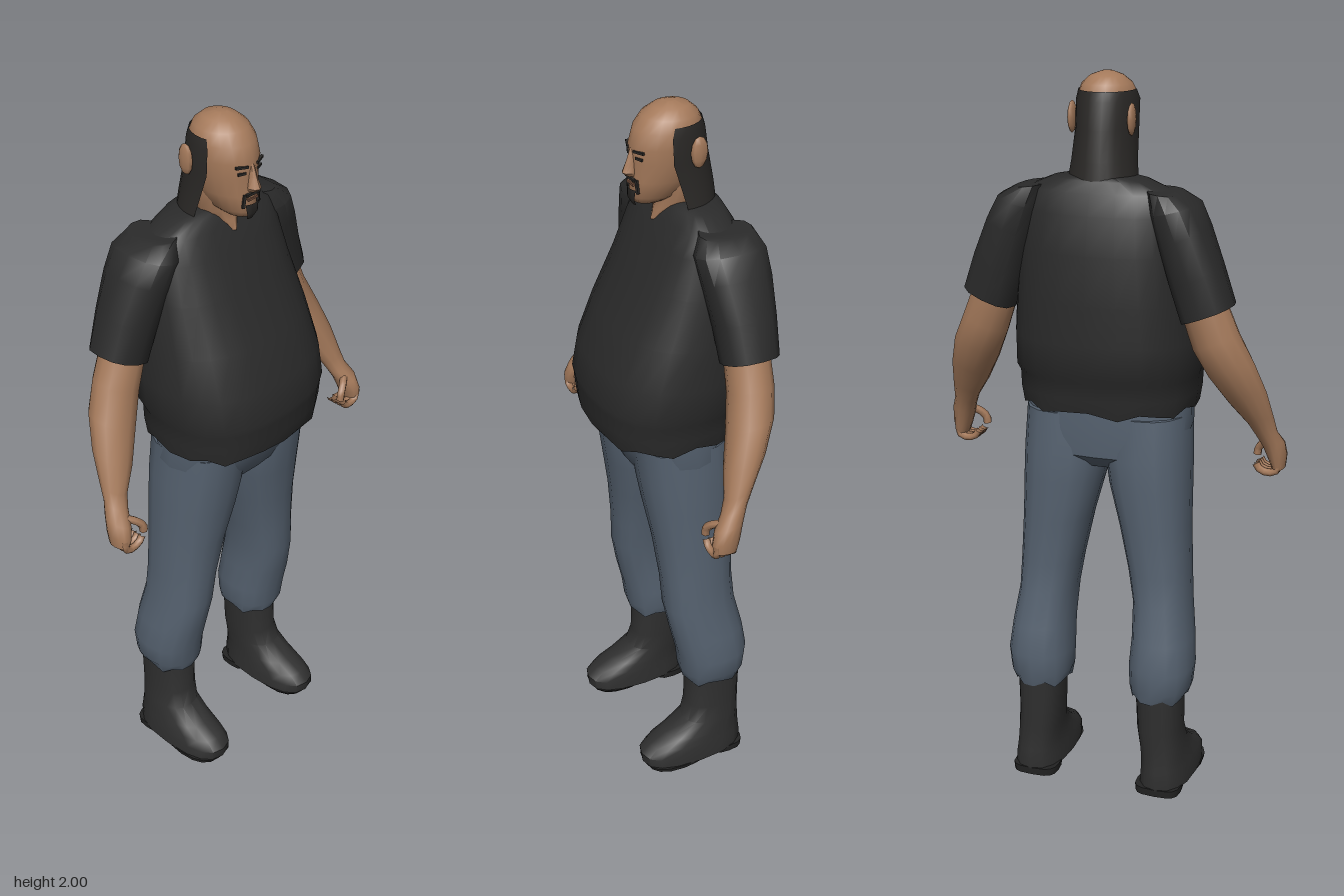
import * as THREE from 'three';
import { toCreasedNormals } from 'three/addons/utils/BufferGeometryUtils.js';

const mat = (name, color, side = THREE.FrontSide) => {
  const m = new THREE.MeshStandardMaterial({ color, side });
  m.name = name;
  return m;
};

// Skin through cross-sections listed upwards: [y, x0, x1, zBack, zFront, tiltX, tiltZ].
// side -1 mirrors in x; arc leaves an opening; wave roughens the lowest ring.
function loft(rings, { n = 16, e = 1, side = 1, arc = null, wave = 0, crease = 0.75 } = {}) {
  const pos = [], idx = [];
  const pow = (v) => Math.sign(v) * Math.abs(v) ** e;
  const cols = arc ? n + 1 : n;
  rings.forEach(([y, a, b, z0, z1, tx = 0, tz = 0], r) => {
    const cx = side * (a + b) / 2, cz = (z0 + z1) / 2;
    for (let i = 0; i < cols; i++) {
      const t = arc ? arc[0] + (arc[1] - arc[0]) * i / n : i / n * Math.PI * 2;
      const dx = pow(Math.sin(t)) * (b - a) / 2, dz = pow(Math.cos(t)) * (z1 - z0) / 2;
      const w = r === 0 ? wave * Math.sin(i * 2.3) : 0;
      pos.push(cx + dx, y + dx * tx * side + dz * tz + w, cz + dz);
    }
  });
  for (let r = 0; r < rings.length - 1; r++) {
    for (let i = 0; i < n; i++) {
      const j = (i + 1) % cols, a = r * cols + i, b = r * cols + j;
      idx.push(a, b, b + cols, a, b + cols, a + cols);
    }
  }
  if (!arc) {
    const top = (rings.length - 1) * n;
    for (let i = 1; i < n - 1; i++) idx.push(0, i + 1, i, top, top + i, top + i + 1);
  }
  const g = new THREE.BufferGeometry();
  g.setAttribute('position', new THREE.Float32BufferAttribute(pos, 3));
  g.setIndex(idx);
  return toCreasedNormals(g, crease);
}

export function createModel() {
  const root = new THREE.Group();
  root.name = 'standingMan';
  const skin = mat('skin', 0xa57a5b);
  const shirt = mat('blackShirt', 0x2a2a2a);
  const denim = mat('denim', 0x566270);
  const leather = mat('bootLeather', 0x2f2f2f);
  const sole = mat('bootSole', 0x232323);
  const hair = mat('darkHair', 0x2a2826, THREE.DoubleSide);
  const lips = mat('lips', 0x75503e);

  const add = (name, geo, m, parent = root) => {
    const mesh = new THREE.Mesh(geo, m);
    mesh.name = name;
    parent.add(mesh);
    return mesh;
  };
  const plate = (name, m, size, p, ry = 0, rz = 0) => {
    const b = add(name, new THREE.BoxGeometry(...size), m);
    b.position.set(...p);
    b.rotation.set(0, ry, rz);
  };

  // Shirt body with a belly, a tucked hem band and square shoulders
  add('shirtBody', loft([
    [1.118, -.238, .238, -.182, .2], [1.16, -.245, .245, -.19, .206],
    [1.205, -.247, .247, -.192, .21], [1.225, -.255, .255, -.204, .213],
    [1.31, -.254, .254, -.205, .196], [1.42, -.242, .242, -.203, .15],
    [1.55, -.225, .225, -.196, .085], [1.65, -.212, .212, -.178, .042],
    [1.705, -.2, .2, -.16, .01], [1.735, -.13, .13, -.148, -.01], [1.745, -.07, .07, -.135, -.02],
  ], { n: 24, e: .8, wave: .01 }), shirt);

  // Trouser seat
  add('hips', loft([
    [.945, -.12, .12, -.09, .06], [.985, -.215, .215, -.135, .105],
    [1.06, -.232, .232, -.142, .135], [1.15, -.228, .228, -.14, .165],
  ], { n: 20, e: .8 }), denim);

  for (const side of [1, -1]) {
    const limb = new THREE.Group();
    limb.name = side > 0 ? 'leftLimbs' : 'rightLimbs';
    root.add(limb);
    const part = (name, rings, m, o = {}) => add(name, loft(rings, { side, ...o }), m, limb);

    // Trouser leg with a ragged cuff bulging over the boot
    part('trouserLeg', [
      [.29, .1, .25, -.165, .01], [.32, .092, .264, -.172, .018], [.38, .09, .27, -.177, .025],
      [.46, .094, .262, -.165, .045], [.56, .09, .248, -.142, .065], [.65, .074, .244, -.135, .068],
      [.78, .046, .238, -.138, .082], [.9, .014, .236, -.142, .102],
      [.98, .002, .234, -.143, .115], [1.1, .002, .228, -.135, .13],
    ], denim, { n: 16, e: .85, wave: .01 });

    // Boot and heeled sole
    part('boot', [
      [.018, .115, .264, -.165, .148], [.05, .117, .262, -.166, .152], [.075, .12, .257, -.163, .125],
      [.1, .122, .252, -.16, .075], [.14, .122, .246, -.158, .015],
      [.19, .117, .24, -.16, 0], [.31, .112, .242, -.162, -.004],
    ], leather, { e: .8 });
    part('forefootSole', [[.008, .125, .262, -.05, .14], [.02, .117, .264, -.06, .147]], sole, { e: .8 });
    part('bootHeel', [[0, .122, .25, -.163, -.06], [.022, .12, .252, -.165, -.055]], sole, { e: .6 });

    // Short sleeve
    part('sleeve', [
      [1.405, .235, .372, -.175, -.03, .4], [1.5, .205, .338, -.182, -.022, .45],
      [1.6, .175, .298, -.187, -.005, .45], [1.67, .15, .268, -.185, .005, .25],
      [1.712, .14, .225, -.165, -.02, -.1],
    ], shirt, { n: 12, e: .8 });

    // Bare arm down to the loosely closed hand
    part('arm', [
      [.955, .45, .484, .012, .076, .2, .1], [.985, .44, .488, .002, .08, .3],
      [1.025, .425, .484, -.01, .068, .3, -.2], [1.06, .41, .468, -.028, .042, .3, -.3],
      [1.1, .392, .462, -.05, .026, .35, -.3], [1.17, .347, .448, -.098, .012, .4, -.3],
      [1.25, .3, .422, -.138, -.014, .4, -.2], [1.33, .262, .385, -.157, -.035, .4],
      [1.44, .225, .34, -.16, -.042, .4],
    ], skin, { n: 12, crease: 1.2 });

    // Curled fingers and a thumb that nearly meet
    const digit = (name, pts, r) => add(name, new THREE.TubeGeometry(
      new THREE.CatmullRomCurve3(pts.map(([x, y, z]) => new THREE.Vector3(side * x, y, z))), 6, r, 6), skin, limb);
    for (let i = 0; i < 4; i++) {
      const z = .02 + i * .016;
      digit('finger', [[.47, .985, z], [.465, .952, z], [.438, .945, z], [.415, .955, z], [.408, .968, z]], .0105);
    }
    digit('thumb', [[.445, 1.03, .04], [.418, 1.015, .058], [.402, .995, .066], [.4, .978, .066]], .0115);

    // Ear, eye and brow
    const ear = add('ear', new THREE.SphereGeometry(1, 8, 6), skin, limb);
    ear.scale.set(.01, .042, .024);
    ear.position.set(side * .081, 1.885, -.07);
    plate('eye', hair, [.022, .006, .006], [side * .031, 1.874, .071], side * .35);
    plate('brow', hair, [.034, .006, .007], [side * .032, 1.892, .072], side * .35, side * .08);
    plate('moustacheSide', hair, [.007, .036, .007], [side * .026, 1.798, .074], side * .4, side * .12);
  }

  // Neck showing in the open collar
  add('neck', loft([
    [1.69, -.012, .012, -.06, .026], [1.715, -.035, .035, -.09, .018],
    [1.745, -.056, .056, -.1, .008], [1.8, -.056, .056, -.1, .025],
  ], { n: 12, crease: 1.2 }), skin);

  // Bald head and nose
  add('head', loft([
    [1.747, -.028, .028, -.02, .068], [1.765, -.046, .046, -.08, .08], [1.81, -.064, .064, -.1, .08],
    [1.86, -.074, .074, -.112, .077], [1.9, -.078, .078, -.114, .08], [1.94, -.077, .077, -.113, .068],
    [1.97, -.065, .065, -.101, .046], [1.99, -.042, .042, -.078, .016], [2, -.014, .014, -.044, -.012],
  ], { n: 20, crease: 1.3 }), skin);
  add('nose', loft([
    [1.822, -.013, .013, .06, .092], [1.832, -.017, .017, .06, .103],
    [1.86, -.01, .01, .06, .092], [1.895, -.008, .008, .06, .08],
  ], { n: 8 }), skin);

  // Long hair round the back, goatee and mouth
  add('longHair', loft([
    [1.7, -.096, .096, -.152, .02], [1.78, -.085, .085, -.144, .05], [1.86, -.08, .08, -.13, .08],
    [1.93, -.081, .081, -.119, .08], [1.955, -.074, .074, -.111, .06],
  ], { n: 16, arc: [1.35, Math.PI * 2 - 1.35], crease: 1.2 }), hair);
  add('goatee', loft([
    [1.742, -.024, .024, -.02, .074], [1.762, -.047, .047, -.08, .086], [1.788, -.058, .058, -.09, .085],
  ], { n: 6, arc: [-.42, .42] }), hair);
  plate('moustache', hair, [.046, .007, .008], [0, 1.815, .08]);
  plate('mouth', lips, [.034, .006, .007], [0, 1.801, .079]);

  return root;
}
